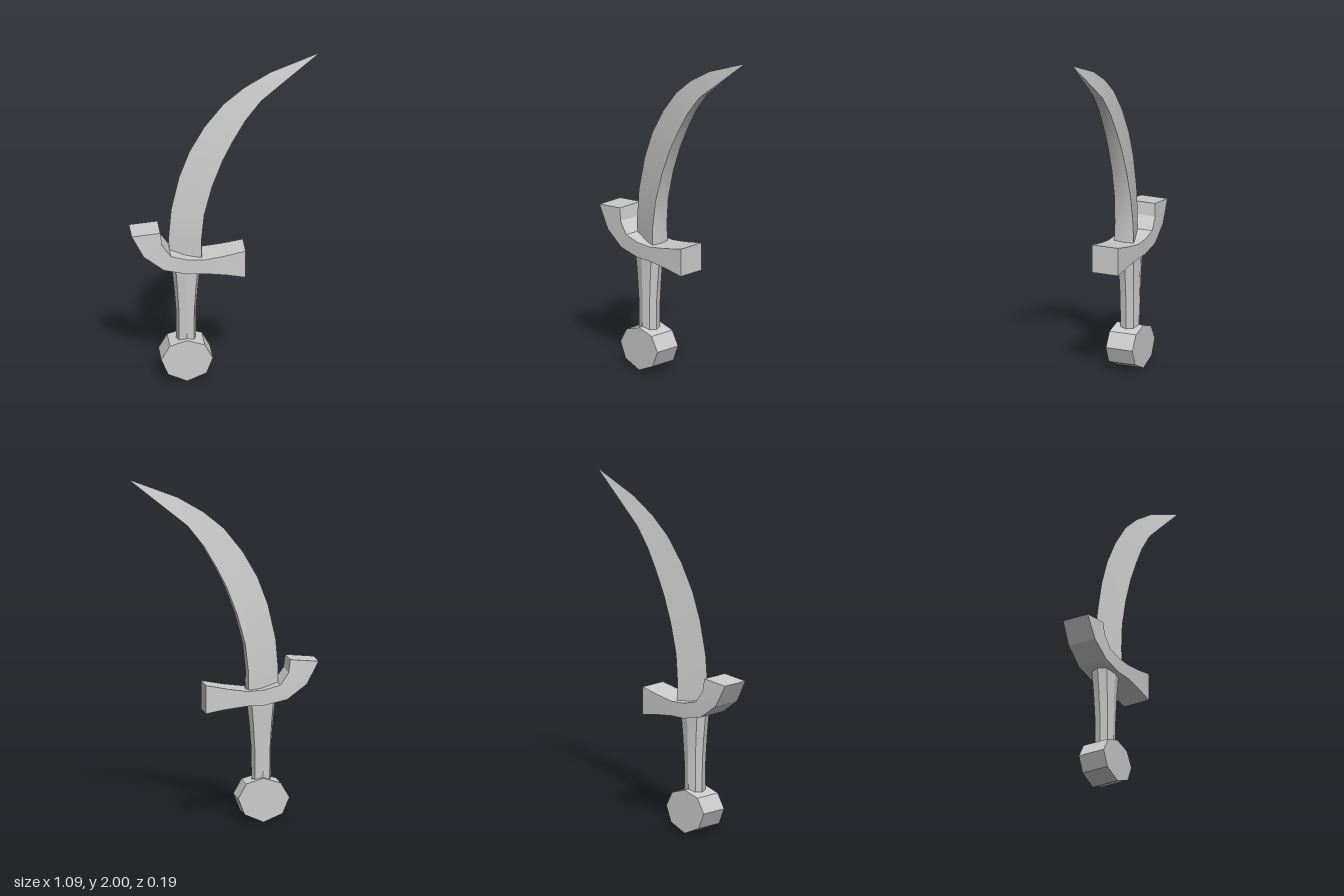
import * as THREE from 'three';
import { toCreasedNormals } from 'three/addons/utils/BufferGeometryUtils.js';

const steel = new THREE.MeshStandardMaterial({ color: 0xcccccc });
steel.name = 'plain grey';

// Closed skin over a list of rings; each ring runs counter-clockwise seen from the far end.
function loft(name, rings) {
  const n = rings[0].length;
  const last = rings.length - 1;
  const index = [];
  for (let r = 0; r < last; r++) {
    for (let i = 0; i < n; i++) {
      const j = (i + 1) % n;
      const a = r * n + i, b = r * n + j, c = b + n, d = a + n;
      index.push(a, b, c, a, c, d);
    }
  }
  for (let i = 1; i < n - 1; i++) {
    index.push(0, i + 1, i);
    index.push(last * n, last * n + i, last * n + i + 1);
  }
  const geometry = new THREE.BufferGeometry();
  geometry.setAttribute('position', new THREE.Float32BufferAttribute(rings.flat(2), 3));
  geometry.setIndex(index);
  const mesh = new THREE.Mesh(toCreasedNormals(geometry, 0.38), steel);
  mesh.name = name;
  return mesh;
}

// Curved blade: sharp outer edge, thick inner spine with a slight ridge
function blade() {
  // edge x, edge y, spine x, spine y, half thickness
  const sections = [
    [-0.32, 0.74, -0.14, 0.74, 0.062],
    [-0.325, 0.87, -0.142, 0.87, 0.058],
    [-0.31, 1.05, -0.125, 1.03, 0.052],
    [-0.265, 1.25, -0.08, 1.2, 0.047],
    [-0.205, 1.41, -0.02, 1.36, 0.043],
    [-0.12, 1.56, 0.04, 1.48, 0.039],
    [-0.01, 1.7, 0.115, 1.61, 0.034],
    [0.11, 1.8, 0.205, 1.725, 0.028],
    [0.26, 1.89, 0.315, 1.815, 0.019],
    [0.538, 2.0, 0.54, 1.998, 0.001],
  ];
  return loft('blade', sections.map(([ex, ey, sx, sy, t]) => {
    const ridge = 0.13 * t;
    return [[ex, ey, 0], [sx, sy, t], [sx + ridge, sy - ridge * 0.4, 0], [sx, sy, -t]];
  }));
}

// Cross guard: upturned on one side, flared on the other
function guard() {
  // bottom x, bottom y, top x, top y, half depth
  const sections = [
    [-0.545, 0.925, -0.38, 0.94, 0.084],
    [-0.475, 0.795, -0.37, 0.865, 0.089],
    [-0.36, 0.71, -0.32, 0.795, 0.094],
    [-0.225, 0.68, -0.225, 0.77, 0.095],
    [-0.13, 0.679, -0.13, 0.765, 0.095],
    [0, 0.662, -0.02, 0.78, 0.089],
    [0.11, 0.64, 0.11, 0.805, 0.083],
  ];
  return loft('guard', sections.map(([bx, by, tx, ty, d]) =>
    [[bx, by, -d], [tx, ty, -d], [tx, ty, d], [bx, by, d]]));
}

// Eight-sided grip, widening towards the guard
function grip() {
  // y, half width, half depth
  const sections = [
    [0.22, 0.056, 0.055],
    [0.42, 0.058, 0.057],
    [0.56, 0.069, 0.061],
    [0.72, 0.086, 0.067],
  ];
  return loft('grip', sections.map(([y, w, d]) => {
    const ring = [];
    for (let i = 0; i < 8; i++) {
      const a = (i / 8) * Math.PI * 2;
      const k = i % 2 ? 1.07 : 1;
      ring.push([-0.225 + w * k * Math.cos(a), y, -d * k * Math.sin(a)]);
    }
    return ring;
  }));
}

// Flat octagonal pommel
function pommel() {
  const outline = [
    [-0.225, 0.255], [-0.325, 0.225], [-0.375, 0.14], [-0.335, 0.047],
    [-0.225, 0], [-0.115, 0.047], [-0.078, 0.14], [-0.125, 0.225],
  ];
  return loft('pommel', [-0.084, 0.084].map((z) => outline.map(([x, y]) => [x, y, z])));
}

export function createModel() {
  const group = new THREE.Group();
  group.name = 'curved sword';
  group.add(blade(), guard(), grip(), pommel());
  return group;
}
